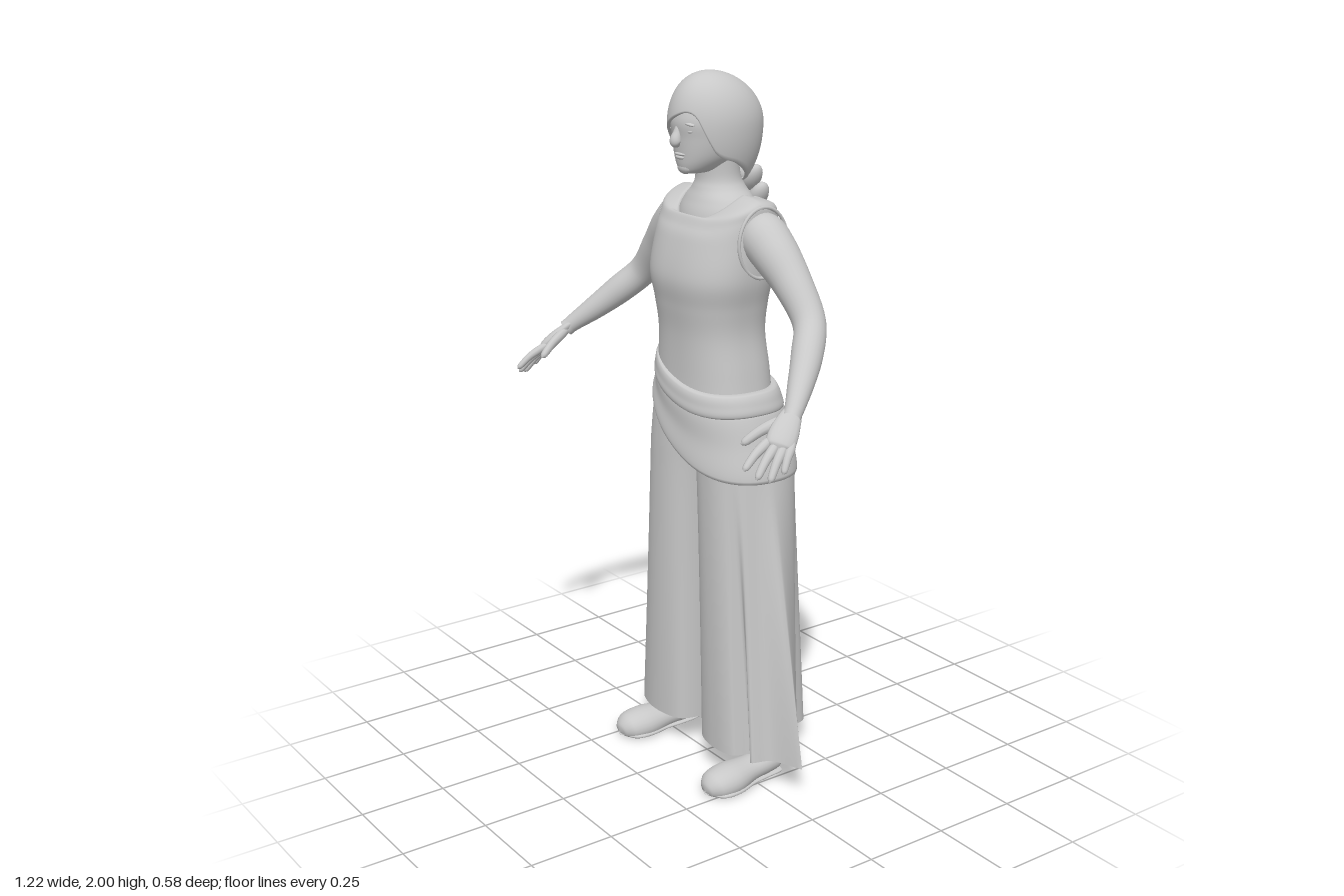
import * as THREE from 'three';

const grey = new THREE.MeshStandardMaterial({ color: 0xc8c8c8, side: THREE.DoubleSide });
grey.name = 'plain grey';

// Smooth interpolation through rows [t, a, b, ...] sorted by t
function keyed(rows, t) {
  const last = rows.length - 1;
  let i = 0;
  while (i < last - 1 && t > rows[i + 1][0]) i++;
  const a = rows[i], b = rows[i + 1], h = b[0] - a[0];
  const p = rows[Math.max(i - 1, 0)], n = rows[Math.min(i + 2, last)];
  const s = Math.min(Math.max((t - a[0]) / h, 0), 1), s2 = s * s, s3 = s2 * s;
  return a.map((_, c) => {
    const ma = (b[c] - p[c]) / (b[0] - p[0]) * h, mb = (n[c] - a[c]) / (n[0] - a[0]) * h;
    return (2 * s3 - 3 * s2 + 1) * a[c] + (s3 - 2 * s2 + s) * ma + (3 * s2 - 2 * s3) * b[c] + (s3 - s2) * mb;
  });
}

// Grid surface closed around u; fn(u, v) gives [x, y, z]
function surface(fn, nu, nv) {
  const pos = [], idx = [];
  for (let j = 0; j <= nv; j++) for (let i = 0; i < nu; i++) pos.push(...fn(i / nu, j / nv));
  for (let j = 0; j < nv; j++) for (let i = 0; i < nu; i++) {
    const a = j * nu + i, b = j * nu + (i + 1) % nu, c = a + nu, d = b + nu;
    idx.push(a, c, b, b, c, d);
  }
  const g = new THREE.BufferGeometry();
  g.setAttribute('position', new THREE.Float32BufferAttribute(pos, 3));
  g.setIndex(idx);
  g.computeVertexNormals();
  return g;
}

const power = (v, p) => Math.sign(v) * Math.pow(Math.abs(v), p);

// Horizontal sections [k, y, halfWidth, zFront, zBack, frontDip, backDip]
function loft(rows, p = 1, nu = 48, nv = 40) {
  const k1 = rows[rows.length - 1][0], k0 = rows[0][0];
  return surface((u, v) => {
    const [, y, rx, zf, zb, df = 0, db = 0] = keyed(rows, k0 + (k1 - k0) * v);
    const a = u * Math.PI * 2, c = Math.cos(a), s = Math.sin(a), zc = (zf + zb) / 2;
    const dip = Math.min(1, Math.abs(s) * 1.1) * (s > 0 ? df : db);
    return [rx * power(c, p), y - dip, zc + (zf - zb) / 2 * power(s, p)];
  }, nu, nv);
}

// Limb through points [x, y, z, radius]; wide axis follows `side`, the other is scaled by flat
function limb(points, side = [0, 0, 1], flat = 1, nu = 16, nv = 28, floor = -1) {
  const curve = new THREE.CatmullRomCurve3(points.map(p => new THREE.Vector3(p[0], p[1], p[2])));
  const radii = points.map((p, i) => [i / (points.length - 1), p[3]]);
  return surface((u, v) => {
    const o = curve.getPoint(v), t = curve.getTangent(v);
    const A = new THREE.Vector3(...side).addScaledVector(t, -t.dot(new THREE.Vector3(...side))).normalize();
    const B = new THREE.Vector3().crossVectors(t, A), r = keyed(radii, v)[1], a = u * Math.PI * 2;
    o.addScaledVector(A, r * Math.cos(a)).addScaledVector(B, r * flat * Math.sin(a));
    return [o.x, Math.max(o.y, floor), o.z];
  }, nu, nv);
}

export function createModel() {
  const root = new THREE.Group();
  root.name = 'standingFigure';
  const add = (name, geo, parent = root) => {
    const m = new THREE.Mesh(geo, grey);
    m.name = name;
    parent.add(m);
    return m;
  };
  const blob = (name, [x, y, z], [sx, sy, sz], rz = 0, parent = root) => {
    const m = add(name, new THREE.SphereGeometry(1, 16, 12), parent);
    m.position.set(x, y, z);
    m.scale.set(sx, sy, sz);
    m.rotation.z = rz;
  };

  // Sleeveless top with scooped neckline
  add('top', loft([
    [0, 1.1, .185, .11, -.155, 0, 0], [1, 1.2, .172, .108, -.15, 0, 0], [2, 1.3, .16, .11, -.14, 0, 0],
    [3, 1.38, .168, .12, -.145, 0, 0], [4, 1.46, .186, .129, -.155, 0, 0], [5, 1.56, .19, .105, -.165, 0, 0],
    [6, 1.63, .19, .085, -.16, .03, .01], [7, 1.668, .18, .072, -.15, .045, .02],
    [8, 1.68, .112, .063, -.135, .06, .025], [8.3, 1.672, .106, .055, -.13, .06, .025]], .82, 64, 60));

  // Neck and upper chest, head
  add('neck', loft([[0, 1.55, .12, .07, -.12], [1, 1.62, .125, .06, -.13], [2, 1.66, .108, .045, -.125],
    [3, 1.69, .076, .032, -.11], [4, 1.72, .062, .025, -.097], [5, 1.78, .06, .03, -.09]]));
  add('head', loft([[0, 1.732, .004, .06, .05], [1, 1.737, .032, .08, -.01], [2, 1.755, .055, .088, -.05],
    [3, 1.785, .076, .092, -.09], [4, 1.83, .09, .096, -.12], [5, 1.88, .094, .1, -.13],
    [6, 1.94, .078, .075, -.12], [7, 1.975, .04, .03, -.08]], .95));

  // Face details
  add('nose', limb([[0, 1.87, .088, .008], [0, 1.845, .095, .012], [0, 1.82, .102, .016], [0, 1.808, .094, .006]], [1, 0, 0]));
  blob('upperLip', [0, 1.787, .088], [.024, .005, .009]);
  blob('lowerLip', [0, 1.778, .087], [.02, .006, .009]);
  blob('chin', [0, 1.75, .072], [.028, .018, .016]);
  for (const s of [-1, 1]) {
    blob('eye', [s * .035, 1.85, .081], [.016, .007, .01]);
    blob('brow', [s * .037, 1.87, .085], [.024, .005, .01], -s * .12);
  }

  // Hair cap; its lower edge sweeps across the forehead and down to the nape
  const hairEdge = [[0, 1.765], [28, 1.79], [40, 1.835], [52, 1.885], [66, 1.9], [85, 1.89], [105, 1.87],
    [128, 1.84], [150, 1.785], [180, 1.765], [225, 1.72], [270, 1.695], [315, 1.72], [360, 1.765]];
  add('hair', surface((u, v) => {
    const a = u * Math.PI * 2, low = keyed(hairEdge, u * 360)[1];
    const w = Math.min(v / .94, 1);
    const y = 2 - (2 - low) * (1 - Math.cos(w * Math.PI / 2));
    const h = y > 1.86 ? (y - 1.86) / .14 : (1.86 - y) / .2;
    const tuck = v > .94 ? 1 - (v - .94) * 2 : 1;
    const r = Math.sqrt(Math.max(0, 1 - h * h)) * tuck;
    const lean = y > 1.86 ? .022 * h * h : 0;
    return [.112 * r * Math.cos(a), y, -.027 + lean + .137 * r * Math.sin(a)];
  }, 72, 34));

  // Braid of alternating strands down the back
  const braid = new THREE.Group();
  braid.name = 'braid';
  root.add(braid);
  const braidPath = [[0, -.128, .04], [.25, -.16, .044], [.6, -.178, .038], [1, -.168, .022]];
  for (let i = 0; i < 14; i++) {
    const t = i / 13, [, z, r] = keyed(braidPath, t), s = i % 2 ? 1 : -1;
    blob('strand', [s * r * .42, 1.73 - .34 * t, z], [r * .55, r * 1.05, r * .65], -s * .6, braid);
  }
  blob('braidTie', [0, 1.368, -.166], [.014, .012, .014], 0, braid);
  blob('braidEnd', [0, 1.347, -.163], [.013, .024, .013], 0, braid);

  // Slanted sashes around the hips
  const sashTop = x => 1.175 - .28 * x + .9 * x * x;
  const skirtLow = x => .985 - .54 * x + 1.0 * x * x;
  const sash = (name, rows, top, low) => add(name, surface((u, v) => {
    const a = u * Math.PI * 2, [, cx, rx, zf, zb] = keyed(rows, v);
    const x = cx + rx * power(Math.cos(a), .87);
    return [x, top(x) + (low(x) - top(x)) * Math.min(1, Math.max(0, (v - .06) / .88)),
      (zf + zb) / 2 + (zf - zb) / 2 * power(Math.sin(a), .87)];
  }, 64, 20));
  sash('upperSash', [[0, .01, .17, .1, -.15], [.08, .012, .185, .117, -.165], [.5, .014, .197, .124, -.178],
    [.92, .014, .2, .122, -.182], [1, .014, .18, .1, -.16]], sashTop, x => sashTop(x) - .065);
  sash('lowerSash', [[0, .014, .18, .1, -.16], [.1, .014, .198, .116, -.182], [.5, .018, .218, .118, -.198],
    [.94, .022, .236, .125, -.212], [1, .022, .222, .112, -.198]], x => sashTop(x) - .05, skirtLow);

  // Wide trouser legs: hip sections blend into folded hem outlines [degrees, x, z]
  const hipRows = [[-1.14, .185, .085, -.14], [-1.05, .203, .09, -.172], [-.95, .222, .091, -.195]];
  const trouserLeg = (s, hem) => surface((u, v) => {
    const k = -1.14 + 1.05 * v, t = Math.max(0, (.95 + k) / .86);
    const [, out, zf, zb] = keyed(hipRows, Math.min(k, -.95));
    const a = u * Math.PI * 2, c = Math.cos(a), sn = Math.sin(a);
    const [, hx, hz] = keyed(hem, u * 360);
    const w = Math.pow(t, 1 + .55 * Math.min(0, c) + .15 * Math.min(0, sn));
    const x = out / 2 + out / 2 * power(c, .85), z = (zf + zb) / 2 + (zf - zb) / 2 * power(sn, .85);
    return [s * (x + (hx - x) * w), -k + .018 * t * Math.min(0, sn), z + (hz - z) * w];
  }, 120, 40);
  add('leftTrouserLeg', trouserLeg(1, [[0, .39, -.05], [18, .3, -.01], [32, .275, .045], [46, .235, .01], [58, .21, .06],
    [90, .13, .075], [120, .06, .06], [150, .022, .02], [180, .018, -.06], [210, .022, -.16], [235, .022, -.24],
    [258, .06, -.29], [280, .125, -.265], [300, .15, -.2], [320, .23, -.155], [342, .31, -.1], [360, .39, -.05]]));
  add('rightTrouserLeg', trouserLeg(-1, [[0, .37, -.09], [20, .35, -.035], [40, .295, .025], [60, .24, .06],
    [90, .16, .075], [120, .08, .06], [150, .05, .02], [180, .045, -.06], [210, .055, -.16], [240, .055, -.25],
    [262, .09, -.285], [280, .145, -.265], [300, .17, -.2], [320, .23, -.165], [342, .32, -.155], [360, .37, -.09]]));

  // Paired arms, hands, armholes, ankles and shoes
  const fingers = [
    ['indexFinger', [.543, 1.155, .2], [.556, 1.098, .288], 1.1], ['middleFinger', [.56, 1.148, .19], [.583, 1.078, .268], 1.1],
    ['ringFinger', [.573, 1.144, .175], [.6, 1.07, .24], 1.1], ['littleFinger', [.582, 1.146, .157], [.607, 1.086, .203], 1],
    ['thumb', [.527, 1.195, .14], [.487, 1.14, .245], 1.3]];
  for (const s of [-1, 1]) {
    const flip = pts => pts.map(([x, ...rest]) => [s * x, ...rest]);
    const label = s > 0 ? 'left' : 'right';
    add(label + 'Arm', limb(flip([[.13, 1.6, -.05, .03], [.172, 1.585, -.05, .064], [.23, 1.545, -.052, .064],
      [.305, 1.475, -.056, .053], [.385, 1.385, -.05, .044], [.44, 1.322, .0, .042], [.49, 1.262, .06, .034],
      [.53, 1.215, .112, .025], [.54, 1.2, .128, .024]]), [0, .3, 1], 1, 24, 48));
    const spread = [s * .04, -.015, -.05];
    add(label + 'Palm', limb(flip([[.525, 1.222, .103, .02], [.538, 1.2, .13, .03], [.553, 1.172, .16, .038],
      [.566, 1.146, .184, .036], [.571, 1.137, .192, .014]]), spread, .48));
    for (const [name, a, b, thick] of fingers) {
      const at = (f, drop, r) => [...a.map((q, i) => q + (b[i] - q) * f + (i === 1 ? drop : 0)), r * thick];
      add(label + name[0].toUpperCase() + name.slice(1), limb(flip([at(-.1, 0, .009), at(.2, .004, .012),
        at(.55, .007, .0105), at(.92, .001, .008), at(1, 0, .001)]), spread, .9, 10, 14));
    }
    const hole = add(label + 'ArmholeTrim', new THREE.TorusGeometry(.088, .005, 8, 40));
    hole.position.set(s * .185, 1.562, -.05);
    hole.rotation.y = Math.PI / 2;
    hole.scale.set(.9, 1.08, 1);
    add(label + 'Ankle', limb(flip([[.21, .03, -.055, .036], [.208, .12, -.055, .036], [.19, .4, -.05, .06], [.13, .8, -.04, .07]])));
    // Shoe with a flat sole
    add(label + 'Shoe', limb(flip([[.208, .035, -.103, .004], [.208, .035, -.095, .03], [.208, .038, -.05, .042],
      [.212, .034, .01, .044], [.218, .026, .08, .057], [.221, .022, .135, .05], [.222, .016, .16, .026], [.222, .014, .166, .003]]),
      [1, 0, 0], .85, 24, 36, .004));
    add(label + 'Sole', limb(flip([[.208, .008, -.106, .004], [.208, .008, -.095, .034], [.209, .008, -.03, .042],
      [.213, .008, .02, .046], [.218, .008, .08, .06], [.221, .008, .135, .053], [.222, .008, .167, .004]]),
      [1, 0, 0], .22, 24, 30, 0));
  }
  return root;
}
